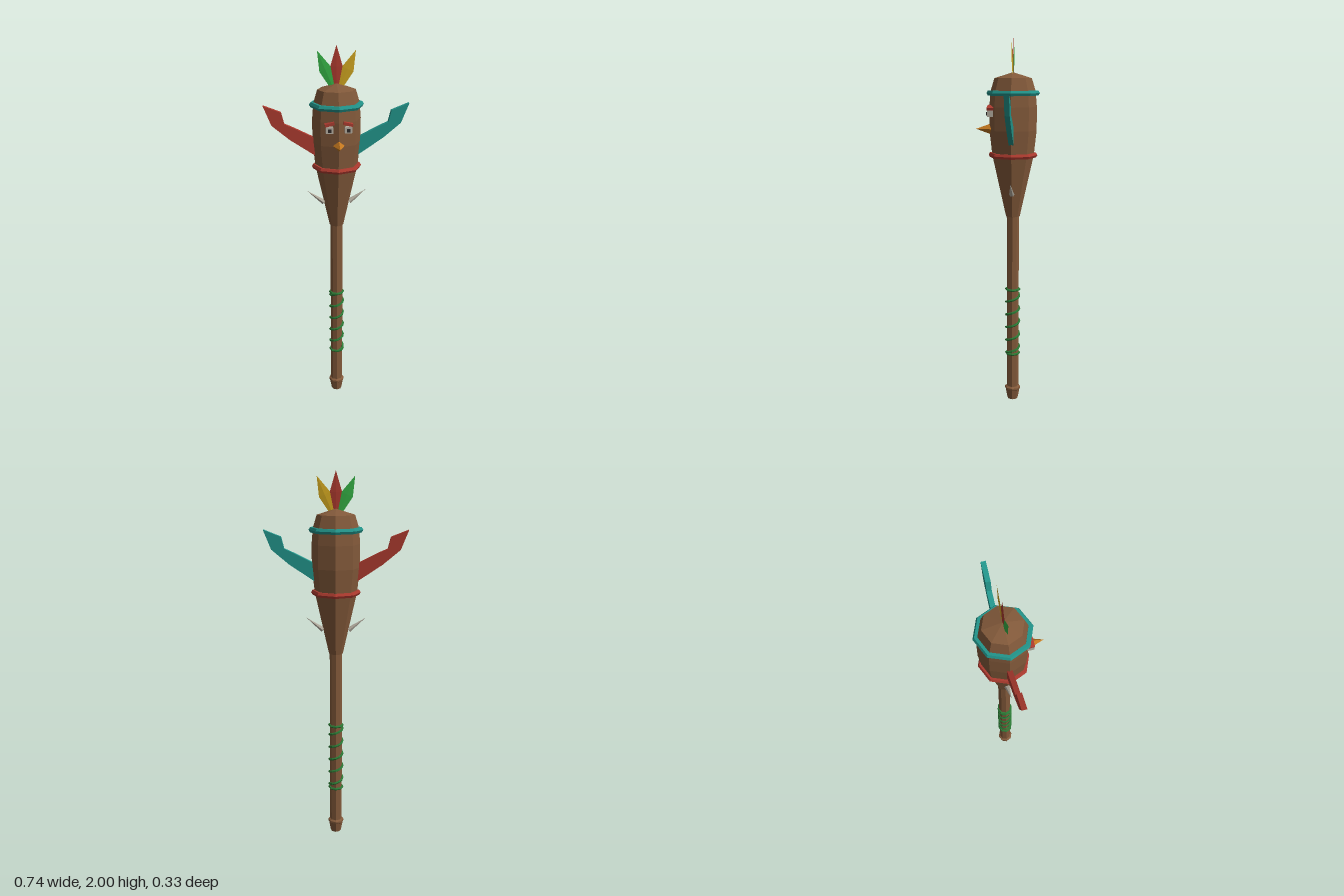
import * as THREE from 'three';

const flat = (name, color) => {
  const m = new THREE.MeshStandardMaterial({ color });
  m.name = name;
  m.flatShading = true;
  return m;
};

export function createModel() {
  const wood = flat('wood', 0x82593a);
  const teal = flat('teal', 0x22948a);
  const red = flat('red', 0xab3a2e);
  const vineGreen = flat('vine green', 0x2b7a35);
  const leafGreen = flat('feather green', 0x35b045);
  const yellow = flat('yellow', 0xcfa520);
  const orange = flat('orange', 0xc4781f);
  const bone = flat('bone', 0xb5aea0);
  const dark = flat('dark', 0x2e2a28);

  const model = new THREE.Group();
  model.name = 'totemStaff';
  const staff = new THREE.Group(); // everything is built around the staff axis
  staff.name = 'staff';
  staff.position.z = -0.03;
  model.add(staff);

  const add = (name, geometry, material, x = 0, y = 0, z = 0) => {
    const mesh = new THREE.Mesh(geometry, material);
    mesh.name = name;
    mesh.position.set(x, y, z);
    staff.add(mesh);
    return mesh;
  };
  const lathe = (points, sides = 8) =>
    new THREE.LatheGeometry(points.map(([r, y]) => new THREE.Vector2(r, y)), sides);

  // Handle with flared pommel
  add('handle', lathe([[0.033, 0.05], [0.033, 1.08]]), wood);
  add('pommel', lathe([[0, 0], [0.029, 0], [0.039, 0.055], [0.043, 0.06], [0.043, 0.07], [0.033, 0.077]]), wood);

  // Carved head, tapering down into the handle
  add('head', lathe([[0, 1.06], [0.037, 1.06], [0.11, 1.39], [0.124, 1.52], [0.124, 1.64],
    [0.117, 1.72], [0.097, 1.785], [0, 1.815]]), wood);

  // Head bands
  const band = (name, radius, tube, y, material) => {
    const g = new THREE.TorusGeometry(radius, tube, 6, 8);
    g.rotateX(Math.PI / 2);
    add(name, g, material, 0, y, 0);
  };
  band('crownBand', 0.124, 0.015, 1.71, teal);
  band('neckBand', 0.115, 0.014, 1.39, red);

  // Vine wrapped round the grip, closed by a ring at each end
  const turns = 5;
  const coil = [];
  for (let i = 0; i <= turns * 8; i++) {
    const a = (i / 8) * Math.PI * 2;
    coil.push(new THREE.Vector3(Math.sin(a) * 0.036, 0.275 + 0.375 * i / (turns * 8), Math.cos(a) * 0.036));
  }
  add('vineWrap', new THREE.TubeGeometry(new THREE.CatmullRomCurve3(coil), turns * 12, 0.007, 5), vineGreen);
  band('vineRingLower', 0.036, 0.007, 0.275, vineGreen);
  band('vineRingUpper', 0.036, 0.007, 0.65, vineGreen);

  // Beak
  const beak = new THREE.ConeGeometry(0.032, 0.09, 4);
  beak.rotateX(Math.PI / 2);
  add('beak', beak, orange, 0, 1.525, 0.15);

  // Wing outline, mirrored for the other side
  const wingPoints = [[0.08, 1.43], [0.12, 1.455], [0.24, 1.535], [0.33, 1.61], [0.37, 1.71],
    [0.28, 1.675], [0.265, 1.615], [0.22, 1.595], [0.12, 1.545], [0.08, 1.525]];

  for (const s of [1, -1]) {
    const side = s > 0 ? 'left' : 'right';

    const shape = new THREE.Shape(wingPoints.map(([x, y]) => new THREE.Vector2(s * x, y)));
    const wing = new THREE.ExtrudeGeometry(shape, { depth: 0.025, bevelEnabled: false });
    add(side + 'Wing', wing, s > 0 ? teal : red, 0, 0, -0.0125);

    // Eye, pupil and brow
    add(side + 'Eye', new THREE.BoxGeometry(0.036, 0.032, 0.035), bone, s * 0.047, 1.607, 0.112);
    add(side + 'Pupil', new THREE.BoxGeometry(0.016, 0.016, 0.006), dark, s * 0.047, 1.606, 0.131);
    const brow = add(side + 'Brow', new THREE.BoxGeometry(0.048, 0.014, 0.04), red, s * 0.046, 1.636, 0.11);
    brow.rotation.z = -s * 0.25;

    // Thorn
    const thorn = add(side + 'Thorn', new THREE.ConeGeometry(0.014, 0.11, 6), bone, s * 0.112, 1.222, 0);
    thorn.rotation.z = -s * 0.93;
  }

  // Crest feathers: flattened four-sided blades
  const feather = (name, x, tilt, length, material) => {
    const g = lathe([[0, 0], [0.014, 0], [0.031, length * 0.48], [0, length]], 4);
    g.scale(1, 1, 0.1);
    add(name, g, material, x, 1.8, 0).rotation.z = tilt;
  };
  feather('redFeather', 0, 0, 0.2, red);
  feather('yellowFeather', 0.02, -0.41, 0.19, yellow);
  feather('greenFeather', -0.02, 0.41, 0.19, leafGreen);

  return model;
}
